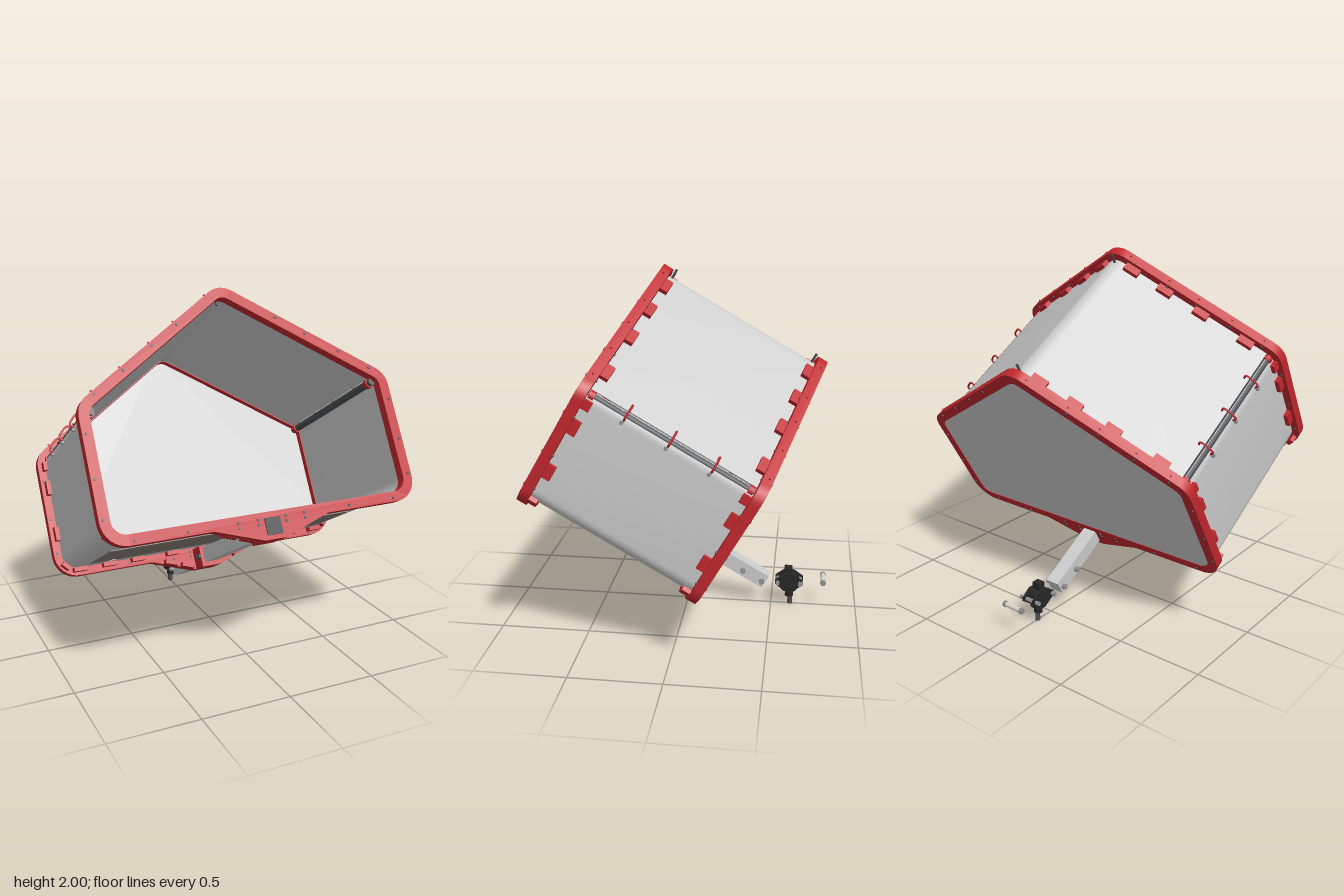
import * as THREE from 'three';
import { toCreasedNormals } from 'three/addons/utils/BufferGeometryUtils.js';

const mat = (color) => new THREE.MeshStandardMaterial({ color, side: THREE.DoubleSide });
const red = mat(0xc1272d), grey = mat(0xcccccc), dark = mat(0x4a4d50), black = mat(0x262626);
const steel = mat(0x8f9294), ivory = mat(0xd8d6cc), brown = mat(0x8a8078);

// House-shaped outline: half width, floor, apex and roof slope
const HALF = 0.9, FLOOR = 0.378, APEX = 1.689, SLOPE = 0.653;
const PITCH = Math.atan(SLOPE), SEG = 8, MID = 0.59;
const roofY = (x, inset) => APEX - inset / Math.cos(PITCH) - SLOPE * Math.abs(x);

function outline(inset) {
  const q = Math.PI / 2;
  const angles = [-q, 0, q - PITCH, q + PITCH, 2 * q, 3 * q];
  const radii = [0.13, 0.122, 0.12, 0.122, 0.13];
  const pts = [];
  radii.forEach((R, k) => {
    const hw = HALF - R;
    const cx = [hw, hw, 0, -hw, -hw][k];
    const cy = k === 0 || k === 4 ? FLOOR + R : roofY(cx, R);
    for (let i = 0; i <= SEG; i++) {
      const a = angles[k] + (angles[k + 1] - angles[k]) * i / SEG;
      pts.push(new THREE.Vector2(cx + (R - inset) * Math.cos(a), cy + (R - inset) * Math.sin(a)));
    }
  });
  return pts;
}

function add(parent, name, geo, material, x = 0, y = 0, z = 0) {
  const m = new THREE.Mesh(geo, material);
  m.name = name;
  m.position.set(x, y, z);
  parent.add(m);
  return m;
}

function extrude(parent, name, pts, hole, z0, z1, material) {
  const shape = new THREE.Shape(pts);
  if (hole) shape.holes.push(new THREE.Path(hole));
  const geo = new THREE.ExtrudeGeometry(shape, { depth: z1 - z0, bevelEnabled: false });
  return add(parent, name, toCreasedNormals(geo, 0.5), material, 0, 0, z0);
}

const box = (p, name, w, h, d, material, x, y, z) =>
  add(p, name, new THREE.BoxGeometry(w, h, d), material, x, y, z);

// Cylinder along the chosen axis
function rod(p, name, r, len, axis, material, x, y, z, sides = 12) {
  const geo = new THREE.CylinderGeometry(r, r, len, sides);
  if (axis === 'x') geo.rotateZ(Math.PI / 2);
  if (axis === 'z') geo.rotateX(Math.PI / 2);
  return add(p, name, geo, material, x, y, z);
}

// One end frame; dir is +1 at the front and -1 at the back
function endFrame(dir) {
  const g = new THREE.Group();
  g.name = dir > 0 ? 'frontFrame' : 'backFrame';
  const at = (d) => MID + dir * d;
  const keel = [[-0.33, FLOOR], [-0.062, 0.29], [0.062, 0.29], [0.33, FLOOR]]
    .map((p) => new THREE.Vector2(...p));
  const z = [at(0.47), at(0.525)].sort((a, b) => a - b);
  extrude(g, 'frameRing', [...outline(0), ...keel], outline(0.056), z[0], z[1], red);

  // Tabs lapping over the shell
  const tab = (x, y, angle, len = 0.08) => {
    box(g, 'tab', len, 0.024, 0.05, red, x, y, at(0.45)).rotation.z = angle;
  };
  for (const s of [1, -1]) {
    for (const x of [0.105, 0.285, 0.48, 0.72]) tab(s * x, roofY(x, 0.032), -s * PITCH, 0.09);
    for (const x of [0.2, 0.42, 0.595, 0.77]) tab(s * x, FLOOR + 0.032, 0);
    for (const y of [0.63, 0.9]) tab(s * (HALF - 0.032), y, Math.PI / 2);
    tab(s * 0.865, 1.03, Math.PI / 2, 0.05);
    tab(s * 0.85, 0.44, s * Math.PI / 4, 0.05);
    for (const x of [0.12, 0.22]) {
      tab(s * x, 0.29 + (x - 0.062) * 0.328 + 0.012, s * 0.317);
    }
    // Fasteners through the ring
    const pins = [0.29, 0.45, 0.63, 0.8].map((x) => [x, roofY(x, 0.02)]);
    pins.push([0.88, 0.95], [0.88, 0.72], [0.88, 0.52], [0.745, 0.398], [0.465, 0.398],
      [0.19, 0.4], [0.19, 0.373], [0.08, 0.4], [0.08, 0.373]);
    for (const [x, y] of pins) rod(g, 'framePin', 0.008, 0.066, 'z', dark, s * x, y, at(0.497), 8);
    for (const x of [0.08, 0.29, 0.45, 0.63, 0.8]) {
      rod(g, 'edgePin', 0.005, 0.035, 'y', red, s * x, roofY(x, 0.008), at(0.5), 6)
        .rotation.z = -s * PITCH;
    }
  }
  rod(g, 'apexPin', 0.007, 0.08, 'y', dark, 0, 1.635, at(0.45), 8);

  // Socket clamping the beam
  box(g, 'beamSocket', 0.124, 0.122, 0.13, red, 0, 0.351, at(0.425));
  for (const d of [0.375, 0.411]) {
    rod(g, 'socketBolt', 0.015, 0.15, 'x', dark, 0, 0.355, at(d), 6);
  }
  return g;
}

export function createModel() {
  const root = new THREE.Group();
  root.name = 'tiltedBin';
  const bin = new THREE.Group();
  bin.name = 'bin';
  bin.rotation.x = -Math.PI / 6;
  root.add(bin);
  bin.add(endFrame(1), endFrame(-1));

  // Thin shell in two panels, split by a seam at each shoulder
  const outer = outline(0.044), inner = outline(0.051), n = SEG + 1;
  const panel = (name, ids) => extrude(bin, name,
    [...ids.map((i) => outer[i]), ...ids.map((i) => inner[i]).reverse()], null, 0.085, 1.1, grey);
  const range = (a, b) => Array.from({ length: b - a + 1 }, (_, i) => a + i);
  panel('roofPanel', range(2 * n - 1, 3 * n));
  panel('lowerPanel', [...range(3 * n + 1, 5 * n - 1), ...range(0, 2 * n - 2)]);
  extrude(bin, 'backPlate', outline(0.004), null, 0.068, 0.08, grey);

  // Underside mat and drains
  box(bin, 'undersideMat', 1.47, 0.004, 0.42, brown, 0, 0.42, 0.46);
  for (const s of [1, -1]) rod(bin, 'drain', 0.02, 0.008, 'y', ivory, s * 0.605, 0.419, 0.25, 16);

  // Seam rods and straps
  for (const s of [1, -1]) {
    rod(bin, 'seamRod', 0.022, 0.98, 'z', dark, s * 0.825, 1.072, MID);
    for (const z of [0.14, 1.04]) rod(bin, 'rodEnd', 0.028, 0.03, 'z', red, s * 0.825, 1.072, z, 16);
    for (const z of [0.352, 0.597, 0.845]) {
      const path = new THREE.CatmullRomCurve3([[0.8, 1.115], [0.815, 1.135], [0.85, 1.11], [0.872, 1.075], [0.85, 1.055]]
        .map(([x, y]) => new THREE.Vector3(s * x, y, z)));
      add(bin, 'seamStrap', new THREE.TubeGeometry(path, 16, 0.006, 6), red);
      rod(bin, 'strapScrew', 0.01, 0.02, 'x', steel, s * 0.86, 1.045, z + 0.005, 8);
    }
  }

  // Support beam
  box(bin, 'beam', 0.084, 0.085, 1.44, grey, 0, 0.358, 0.39);
  box(bin, 'beamCap', 0.09, 0.09, 0.01, black, 0, 0.358, 1.115);
  for (const z of [-0.18, -0.308]) {
    rod(bin, 'beamBolt', 0.008, 0.15, 'x', steel, 0, 0.356, z);
    for (const s of [1, -1]) rod(bin, 'beamNut', 0.017, 0.018, 'x', steel, s * 0.058, 0.356, z, 6);
  }

  // Swivel joint
  const joint = new THREE.Group();
  joint.name = 'swivelJoint';
  joint.position.set(0, 0.15, -0.605);
  root.add(joint);
  rod(joint, 'jointBody', 0.056, 0.07, 'x', black, 0, 0, 0, 8);
  for (const s of [1, -1]) {
    const cheek = [[-0.082, -0.012], [-0.03, -0.05], [0.03, -0.05], [0.082, -0.012], [0.082, 0.012], [0.03, 0.05], [-0.03, 0.05], [-0.082, 0.012]];
    const plate = extrude(joint, 'jointCheek', cheek.map((p) => new THREE.Vector2(...p)), null, 0, 0.015, black);
    plate.rotation.y = Math.PI / 2;
    plate.position.x = s * 0.035 - 0.0075;
    rod(joint, 'jointBolt', 0.012, 0.14, 'x', steel, 0, 0, s * 0.066, 6);
  }
  box(joint, 'jointTop', 0.05, 0.05, 0.045, black, 0, 0.06, 0.005);
  rod(joint, 'jointFlange', 0.046, 0.012, 'y', black, 0, -0.052, 0, 16);
  rod(joint, 'jointNeck', 0.025, 0.05, 'y', black, 0, -0.075, -0.003, 12);
  rod(joint, 'jointStem', 0.014, 0.08, 'y', dark, 0, -0.11, -0.008, 12);

  // Loose pin behind the joint
  rod(root, 'loosePin', 0.014, 0.1, 'x', ivory, 0, 0.168, -0.805);
  for (const s of [1, -1]) rod(root, 'loosePinNut', 0.017, 0.02, 'x', steel, s * 0.06, 0.168, -0.805, 6);
  return root;
}
